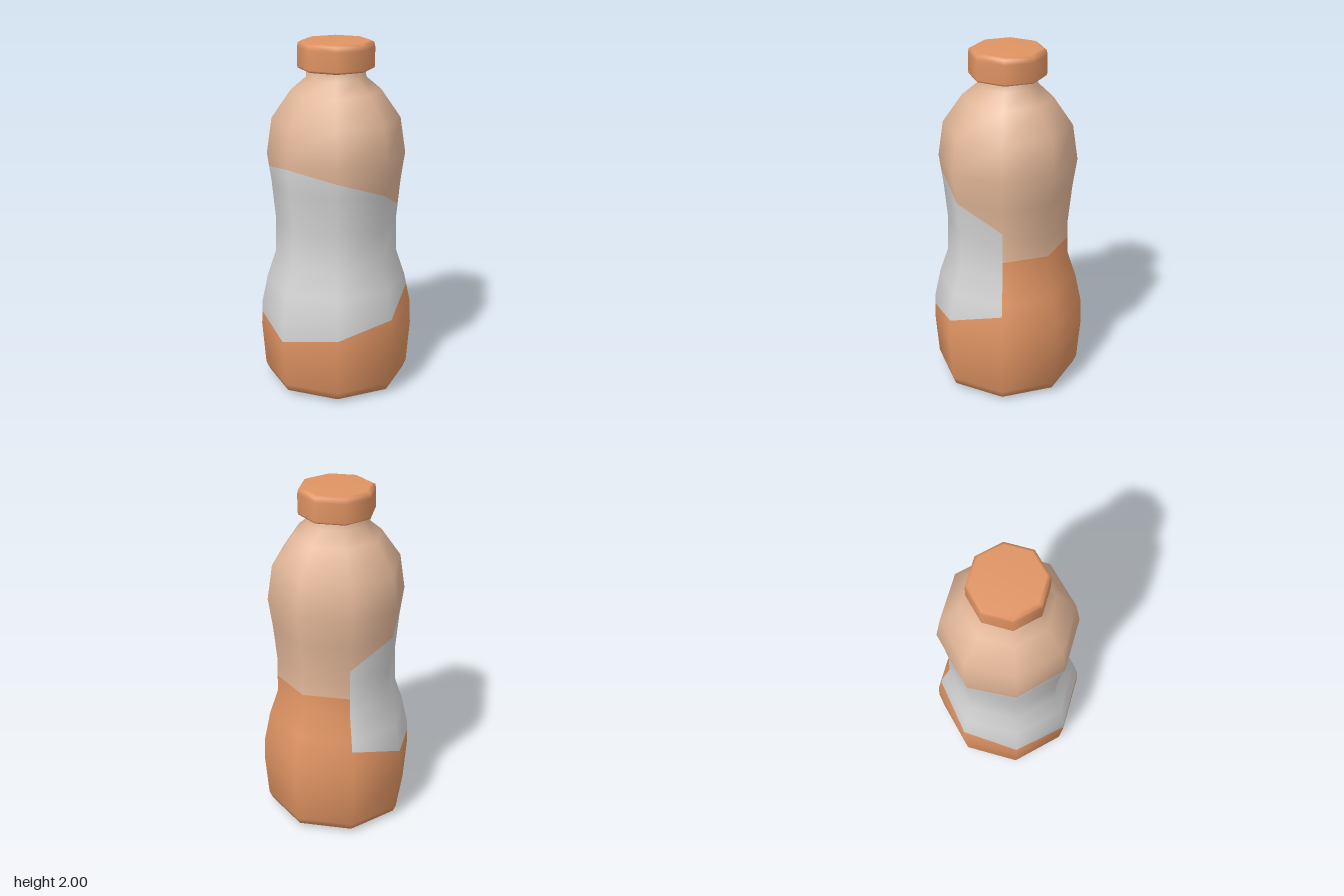
import * as THREE from 'three';

const SIDES = 8;

// Body profile: [height, radius at the corners]
const PROFILE = [
  [0, 0.34], [0.025, 0.4], [0.07, 0.42], [0.32, 0.44], [0.46, 0.435], [0.63, 0.4],
  [0.78, 0.35], [0.98, 0.345], [1.2, 0.366], [1.37, 0.39], [1.57, 0.36],
  [1.73, 0.25], [1.8, 0.167], [1.86, 0.16],
];

// Outward normal of one profile segment, as [up, out]
function segmentNormal(i) {
  const [y0, r0] = PROFILE[i], [y1, r1] = PROFILE[i + 1];
  const len = Math.hypot(y1 - y0, r1 - r0);
  return [(r0 - r1) / len, (y1 - y0) / len];
}

// Smooth normal at each profile point
const NORMALS = PROFILE.map((_, i) => {
  const a = i > 0 ? segmentNormal(i - 1) : [-1, 0];
  const b = segmentNormal(Math.min(i, PROFILE.length - 2));
  return [a[0] + b[0], a[1] + b[1]];
});

// Radius and normal of the body at any height
function sample(y) {
  let i = 0;
  while (i < PROFILE.length - 2 && y > PROFILE[i + 1][0]) i++;
  const t = (y - PROFILE[i][0]) / (PROFILE[i + 1][0] - PROFILE[i][0]);
  const mix = (a, b) => a + (b - a) * t;
  return {
    r: mix(PROFILE[i][1], PROFILE[i + 1][1]),
    up: mix(NORMALS[i][0], NORMALS[i + 1][0]),
    out: mix(NORMALS[i][1], NORMALS[i + 1][1]),
  };
}

// Part of the body skin: corner columns first..last, between lo(k) and hi(k)
function skin(first, last, lo, hi) {
  const pos = [], nor = [], idx = [], rows = PROFILE.length;
  for (let k = first; k <= last; k++) {
    const a = (k / SIDES) * Math.PI * 2, s = Math.sin(a), c = Math.cos(a);
    for (const [ringY] of PROFILE) {
      const y = Math.min(Math.max(ringY, lo(k)), hi(k));
      const { r, up, out } = sample(y);
      const n = new THREE.Vector3(s * out, up, c * out).normalize();
      pos.push(s * r, y, c * r);
      nor.push(n.x, n.y, n.z);
    }
  }
  for (let k = 0; k < last - first; k++) {
    for (let j = 0; j < rows - 1; j++) {
      const a = k * rows + j, b = a + rows;
      idx.push(a, b, b + 1, a, b + 1, a + 1);
    }
  }
  const geo = new THREE.BufferGeometry();
  geo.setAttribute('position', new THREE.Float32BufferAttribute(pos, 3));
  geo.setAttribute('normal', new THREE.Float32BufferAttribute(nor, 3));
  geo.setIndex(idx);
  return geo;
}

export function createModel() {
  const orange = new THREE.MeshStandardMaterial({ color: 0xe09463 });
  orange.name = 'orange';
  const tan = new THREE.MeshStandardMaterial({ color: 0xe0b597 });
  tan.name = 'tan';
  const pale = new THREE.MeshStandardMaterial({ color: 0xd4d4d4 });
  pale.name = 'paleGrey';

  const model = new THREE.Group();
  model.name = 'bottle';
  const add = (name, geo, mat) => {
    const mesh = new THREE.Mesh(geo, mat);
    mesh.name = name;
    model.add(mesh);
    return mesh;
  };

  // Label edges by column, counted from the front corner
  const labelTop = (k) => [1.345, 1.29, 1.19, 1.06][Math.abs(k)];
  const labelBottom = (k) => [0.345, 0.4, 0.47, 0.57][Math.abs(k)];
  const bottom = () => 0, top = () => 1.86, split = () => 0.88;

  // Wrapped label, open at the back
  add('label', skin(-3, 3, labelBottom, labelTop), pale);

  // Upper body with neck, and lower body
  add('upperBodyFront', skin(-3, 3, labelTop, top), tan);
  add('upperBodyBack', skin(3, 5, split, top), tan);
  add('lowerBodyFront', skin(-3, 3, bottom, labelBottom), orange);
  add('lowerBodyBack', skin(3, 5, bottom, split), orange);

  // Flat base
  const base = new THREE.CircleGeometry(PROFILE[0][1], SIDES).rotateX(Math.PI / 2);
  add('base', base, orange);

  // Screw cap with softened rims
  const capProfile = [
    [0, 1.845], [0.195, 1.845], [0.21, 1.85], [0.214, 1.86],
    [0.214, 1.965], [0.209, 1.99], [0.19, 2], [0, 2],
  ].map(([r, y]) => new THREE.Vector2(r, y));
  add('cap', new THREE.LatheGeometry(capProfile, SIDES), orange);

  return model;
}
